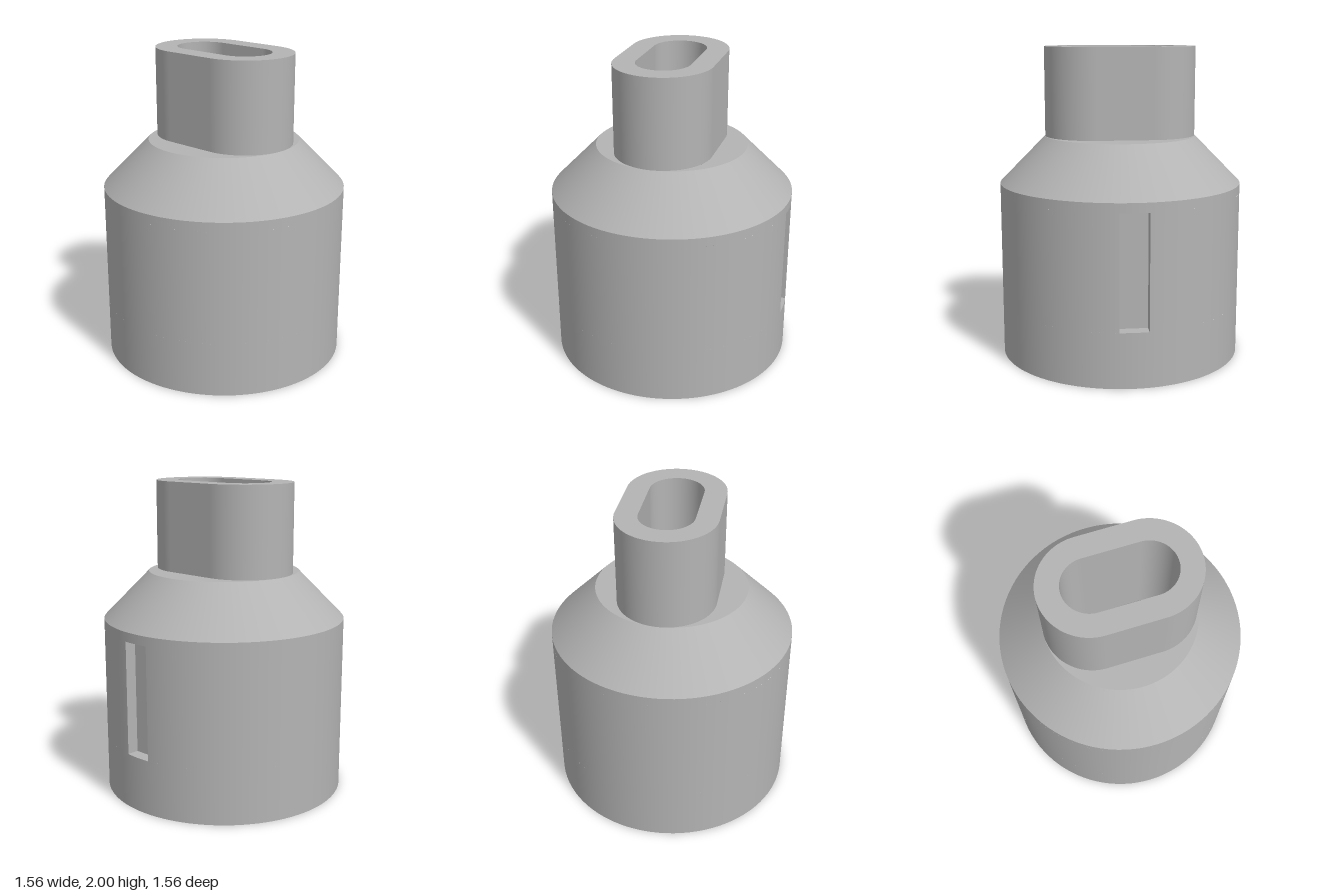
import * as THREE from 'three';

const R = 0.78, BORE = 0.285;        // outer body radius, inner bore radius
const C = 0.175;                     // centre offset of the rounded neck ends
const NECK = 0.31, SLOT = 0.17;      // end radii of neck and of its slot
const SHOULDER = 1.43, SLOT_FLOOR = 1.13, TOP = 2;
const PI = Math.PI;

export function createModel() {
  const model = new THREE.Group();
  const grey = new THREE.MeshStandardMaterial({ color: 0xb4b4b4 });
  grey.name = 'grey';

  const add = (name, geometry, parent = model) => {
    const mesh = new THREE.Mesh(geometry, grey);
    mesh.name = name;
    parent.add(mesh);
    return mesh;
  };
  const group = (name) => {
    const g = new THREE.Group();
    g.name = name;
    model.add(g);
    return g;
  };
  // Round wall between two profile points: rising faces out, falling faces in
  const band = (r0, y0, r1, y1, start = 0, length = 2 * PI) =>
    new THREE.LatheGeometry([new THREE.Vector2(r0, y0), new THREE.Vector2(r1, y1)], 96, start, length);
  // Flat face lying level at height y, facing up or down
  const level = (shape, y, up = true) =>
    new THREE.ShapeGeometry(shape, 48).rotateX(up ? -PI / 2 : PI / 2).translate(0, y, 0);
  const stadium = (path, r) => path
    .absarc(C, 0, r, -PI / 2, PI / 2, false)
    .absarc(-C, 0, r, PI / 2, 1.5 * PI, false)
    .closePath();
  // Upright wall with straight sides and rounded ends
  const stadiumWall = (name, r, y0, y1, outward) => {
    const g = group(name);
    const [a, b] = outward ? [y0, y1] : [y1, y0];
    for (const s of [1, -1]) {
      add('roundEnd', band(r, a, r, b, s > 0 ? 0 : PI, PI).translate(s * C, 0, 0), g);
      const flat = new THREE.PlaneGeometry(2 * C, y1 - y0);
      if ((s > 0) !== outward) flat.rotateY(PI);
      add('flatSide', flat.translate(0, (y0 + y1) / 2, s * r), g);
    }
  };

  // Outer body, with a gap at the back for the pocket
  const w = 0.09, low = 0.35, high = 1.07, back = -0.7;
  const gap = Math.asin(w / R);
  const body = group('body');
  add('lowerWall', band(R, 0, R, low), body);
  add('middleWall', band(R, low, R, high, PI + gap, 2 * (PI - gap)), body);
  add('upperWall', band(R, high, R, 1.13), body);
  add('taper', band(R, 1.13, 0.485, SHOULDER), body);
  add('bottomRim', new THREE.RingGeometry(0.615, R, 96).rotateX(PI / 2), body);

  // Upright pocket in the back
  const pocket = group('backPocket');
  const edge = -R * Math.cos(gap), mid = (low + high) / 2;
  add('pocketFloor', new THREE.PlaneGeometry(2 * w, high - low).rotateY(PI).translate(0, mid, back), pocket);
  for (const s of [1, -1]) {
    add('pocketSide', new THREE.PlaneGeometry(back - edge, high - low)
      .rotateY(-s * PI / 2).translate(s * w, mid, (back + edge) / 2), pocket);
  }
  const ledge = new THREE.Shape();
  ledge.moveTo(-w, -back);
  ledge.lineTo(w, -back);
  ledge.absarc(0, 0, R, PI / 2 - gap, PI / 2 + gap, false);
  add('pocketSill', level(ledge, low), pocket);
  add('pocketLintel', level(ledge, high, false).rotateY(PI), pocket);

  // Socket: chamfer, short cylinder, cone and bore
  const socket = group('socket');
  const profile = [[BORE, SLOT_FLOOR], [BORE, 0.483], [0.55, 0.217], [0.55, 0.062], [0.615, 0]];
  for (let i = 0; i < profile.length - 1; i++) {
    add('socketWall', band(...profile[i], ...profile[i + 1]), socket);
  }

  // Shoulder crescents around the foot of the neck
  const crescent = new THREE.Shape();
  crescent.absarc(0, 0, C + NECK, 0, PI, false);
  crescent.absarc(-C, 0, NECK, PI, PI / 2, true);
  crescent.absarc(C, 0, NECK, PI / 2, 0, true);
  add('frontShoulder', level(crescent, SHOULDER).rotateY(PI));
  add('backShoulder', level(crescent, SHOULDER));

  // Neck with a rounded slot
  stadiumWall('neckWall', NECK, SHOULDER, TOP, true);
  stadiumWall('slotWall', SLOT, SLOT_FLOOR, TOP, false);
  const rim = stadium(new THREE.Shape(), NECK);
  rim.holes.push(stadium(new THREE.Path(), SLOT));
  add('neckRim', level(rim, TOP));

  // Where the slot meets the bore: ledges at the ends, ceilings at the sides
  const x = (BORE ** 2 - SLOT ** 2 + C ** 2) / (2 * C);
  const z = Math.sqrt(BORE ** 2 - x ** 2);
  const a = Math.atan2(z, x - C), b = Math.atan2(z, x);
  const end = new THREE.Shape();
  end.absarc(C, 0, SLOT, -a, a, false);
  end.absarc(0, 0, BORE, b, -b, true);
  const ceiling = new THREE.Shape();
  ceiling.absarc(0, 0, BORE, b, PI - b, false);
  ceiling.absarc(-C, 0, SLOT, PI - a, PI / 2, true);
  ceiling.absarc(C, 0, SLOT, PI / 2, a, true);
  for (const turn of [0, PI]) {
    add('slotLedge', level(end, SLOT_FLOOR).rotateY(turn));
    add('boreCeiling', level(ceiling, SLOT_FLOOR, false).rotateY(turn));
  }
  return model;
}
